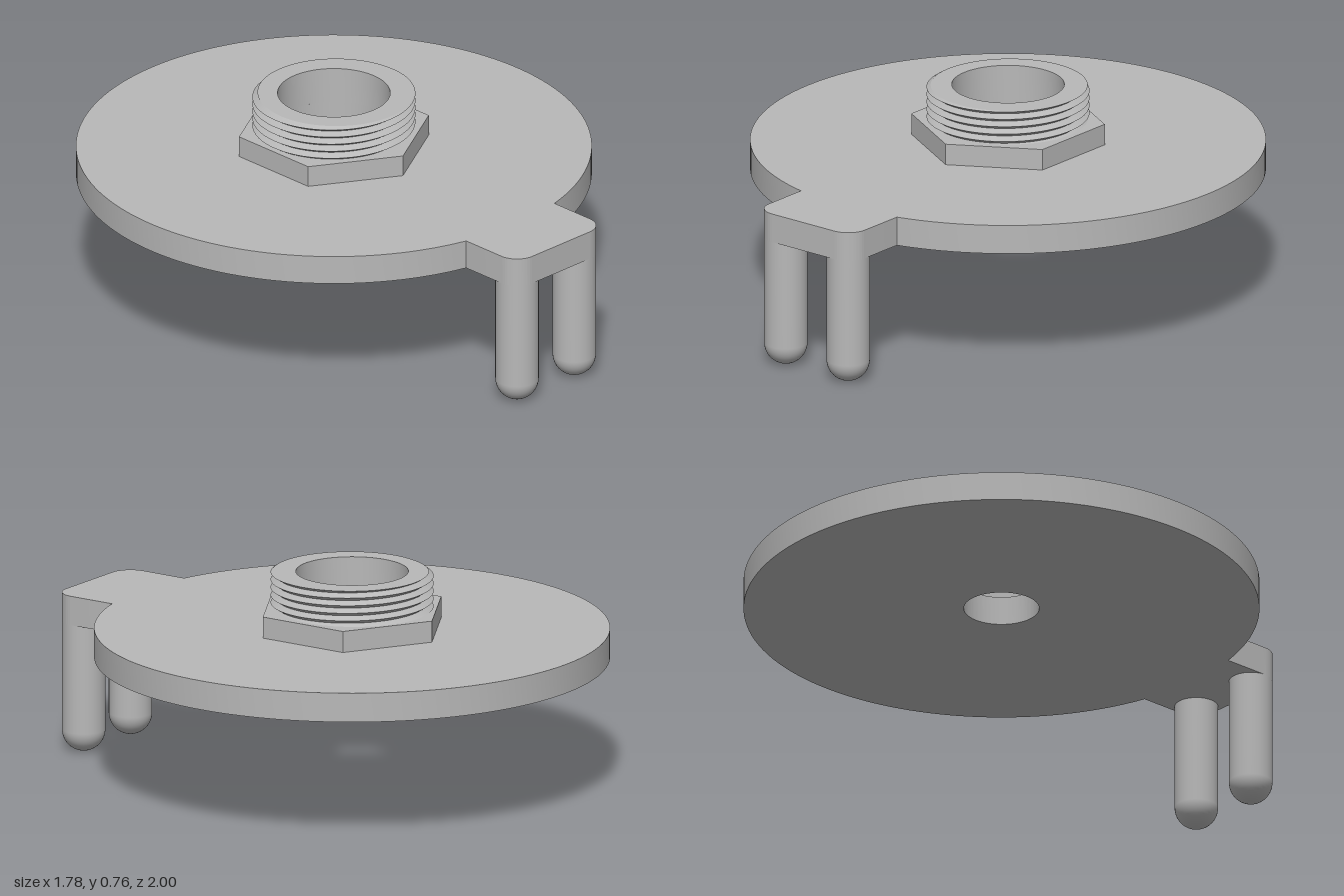
import * as THREE from 'three';
import { toCreasedNormals } from 'three/addons/utils/BufferGeometryUtils.js';

const CZ = -0.111;          // z of the disc and fitting axis
const PLATE_Y = 0.46, PLATE_TOP = 0.563, NUT_TOP = 0.638, THREAD_TOP = 0.765;
const BORE = 0.194;

export function createModel() {
  const group = new THREE.Group();
  const metal = new THREE.MeshStandardMaterial({ color: 0xb8b8b8 });
  metal.name = 'grey metal';

  const add = (name, geometry, x = 0, y = 0, z = 0) => {
    const mesh = new THREE.Mesh(geometry, metal);
    mesh.name = name;
    mesh.position.set(x, y, z);
    group.add(mesh);
  };

  // Extrude upwards a shape drawn in (x, -z), with a round hole
  const slab = (shape, height, holeY, holeR) => {
    const hole = new THREE.Path();
    hole.absarc(0, holeY, holeR, 0, Math.PI * 2, true);
    shape.holes.push(hole);
    const geo = new THREE.ExtrudeGeometry(shape, { depth: height, bevelEnabled: false, curveSegments: 64 });
    return toCreasedNormals(geo.rotateX(-Math.PI / 2), 0.5);
  };

  // Disc with the round-cornered tab at the front
  const R = 0.889, tab = 0.214, corner = 0.075;
  const a = Math.asin(tab / R);
  const outline = new THREE.Shape();
  outline.absarc(0, -CZ, R, -Math.PI / 2 + a, Math.PI * 1.5 - a, false);
  outline.absarc(-tab + corner, -1 + corner, corner, Math.PI, Math.PI * 1.5, false);
  outline.absarc(tab - corner, -1 + corner, corner, Math.PI * 1.5, Math.PI * 2, false);
  outline.closePath();
  add('basePlate', slab(outline, PLATE_TOP - PLATE_Y, -CZ, 0.13), 0, PLATE_Y, 0);

  // Hexagonal nut, corners to the front and back
  const hex = new THREE.Shape();
  for (let i = 0; i < 6; i++) {
    const t = Math.PI / 2 + (i * Math.PI) / 3, r = 0.338;
    if (i === 0) hex.moveTo(r * Math.cos(t), r * Math.sin(t));
    else hex.lineTo(r * Math.cos(t), r * Math.sin(t));
  }
  hex.closePath();
  add('hexNut', slab(hex, NUT_TOP - PLATE_TOP, 0, BORE), 0, PLATE_TOP, CZ);

  add('threadedCollar', threadGeometry(), 0, 0, CZ);

  // Two round-ended pins under the tab
  const pinR = 0.075, profile = [];
  for (let i = 0; i <= 12; i++) {
    const t = (i / 12) * Math.PI / 2;
    profile.push(new THREE.Vector2(pinR * Math.sin(t), pinR * (1 - Math.cos(t))));
  }
  profile.push(new THREE.Vector2(pinR, PLATE_Y));
  for (const side of [-1, 1]) {
    add(side < 0 ? 'rightPin' : 'leftPin', new THREE.LatheGeometry(profile, 40), side * 0.139, 0, 1 - pinR);
  }
  return group;
}

// Helical V-thread, flat rim and inner bore as one swept grid
function threadGeometry() {
  const pitch = 0.027, crest = 0.281, root = 0.26, segs = 96;
  const rows = [];
  for (let k = -2; k <= 10; k++) {
    rows.push((turn) => {
      const y = THREE.MathUtils.clamp(NUT_TOP + pitch * (k / 2 + turn), NUT_TOP, THREAD_TOP);
      const p = (y - NUT_TOP) / pitch - turn;
      const d = 2 * Math.abs(p - Math.floor(p) - 0.5);
      return [crest + (root - crest) * d, y];
    });
  }
  rows.push(() => [BORE, THREAD_TOP]);
  rows.push(() => [BORE, NUT_TOP]);

  const pos = [], index = [];
  for (const row of rows) {
    for (let i = 0; i <= segs; i++) {
      const turn = i / segs, t = turn * Math.PI * 2;
      const [r, y] = row(turn);
      pos.push(r * Math.sin(t), y, r * Math.cos(t));
    }
  }
  const w = segs + 1;
  for (let j = 0; j < rows.length - 1; j++) {
    for (let i = 0; i < segs; i++) {
      const p = j * w + i;
      index.push(p, p + 1, p + w, p + 1, p + w + 1, p + w);
    }
  }
  const geo = new THREE.BufferGeometry();
  geo.setAttribute('position', new THREE.Float32BufferAttribute(pos, 3));
  geo.setIndex(index);
  return toCreasedNormals(geo, 0.5);
}
